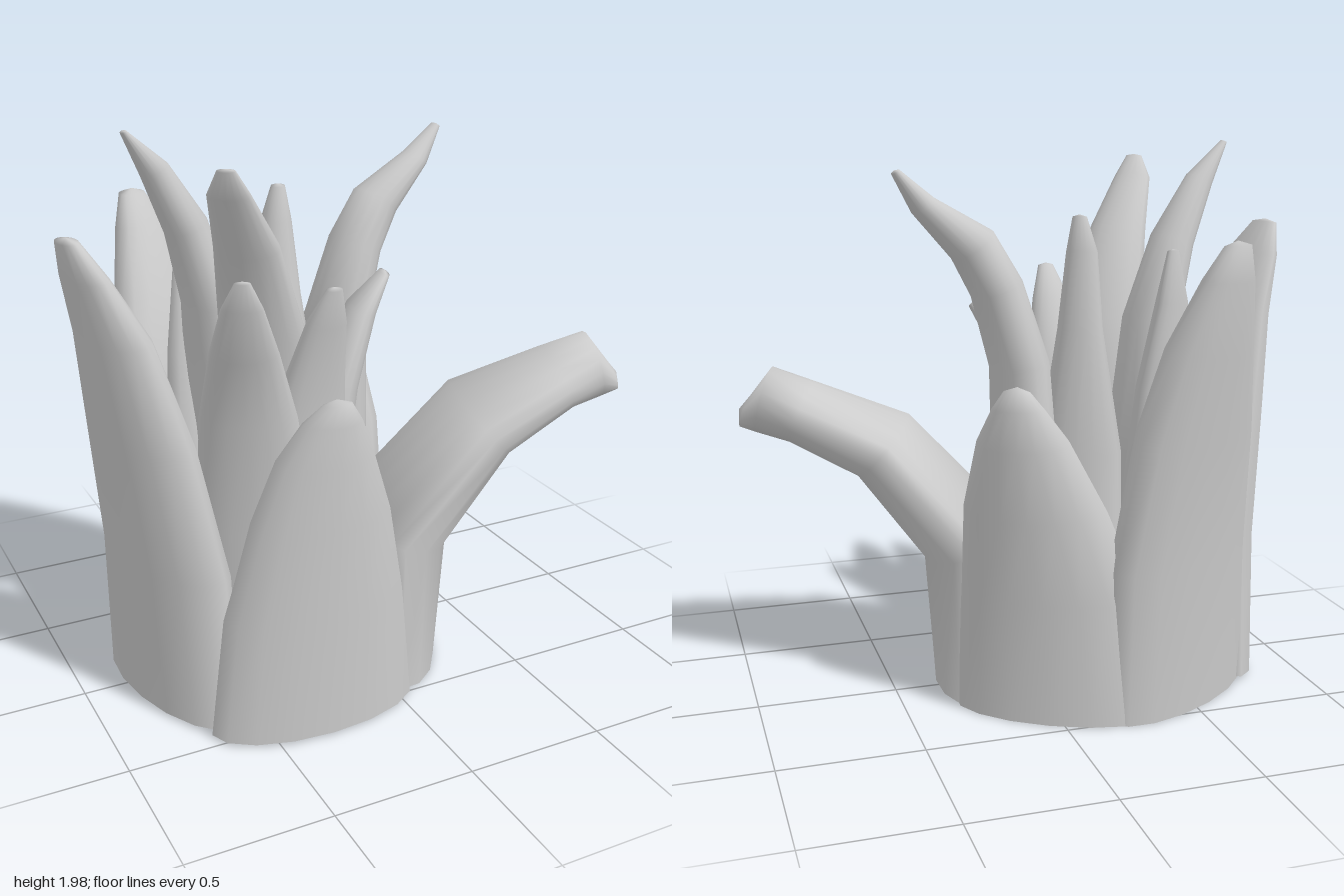
import * as THREE from 'three';

const SEG = 16;
const material = new THREE.MeshStandardMaterial({ color: 0xcccccc, side: THREE.DoubleSide });

// One fleshy leaf. facing: outward direction in degrees (0 = +x, 90 = +z).
// Rows follow the outer crest: [x, y, z, half width, outer depth, inner depth].
function leaf(name, facing, rows) {
  const a = THREE.MathUtils.degToRad(facing);
  const W = new THREE.Vector3(Math.sin(a), 0, -Math.cos(a));
  const crest = rows.map(r => new THREE.Vector3(r[0], r[1], r[2]));
  const pos = [], index = [];
  const last = rows.length - 1;
  const T = new THREE.Vector3(), N = new THREE.Vector3(), c = new THREE.Vector3(), p = new THREE.Vector3();
  rows.forEach(([, , , w, outer, inner], i) => {
    if (i === 0) T.set(0, 1, 0);
    else T.subVectors(crest[Math.min(i + 1, last)], crest[i - 1]).normalize();
    N.crossVectors(W, T).normalize();
    c.copy(crest[i]).addScaledVector(N, -outer);
    for (let j = 0; j < SEG; j++) {
      const t = (j / SEG) * Math.PI * 2, s = Math.sin(t);
      p.copy(c).addScaledVector(W, w * Math.cos(t)).addScaledVector(N, s * (s > 0 ? outer : inner));
      pos.push(p.x, p.y, p.z);
    }
  });
  // rounded tip
  c.addScaledVector(T, rows[last][4] * 0.4);
  pos.push(c.x, c.y, c.z);
  const tip = rows.length * SEG;
  for (let j = 0; j < SEG; j++) {
    const k = (j + 1) % SEG;
    for (let i = 0; i < last; i++) {
      const b = i * SEG, u = b + SEG;
      index.push(b + j, u + j, b + k, b + k, u + j, u + k);
    }
    index.push(last * SEG + j, tip, last * SEG + k);
  }
  const g = new THREE.BufferGeometry();
  g.setAttribute('position', new THREE.Float32BufferAttribute(pos, 3));
  g.setIndex(index);
  g.computeVertexNormals();
  const mesh = new THREE.Mesh(g, material);
  mesh.name = name;
  return mesh;
}

export function createModel() {
  const group = new THREE.Group();
  group.name = 'spikyPlant';

  // outer ring of broad leaves
  const outer = new THREE.Group();
  outer.name = 'outerLeaves';
  outer.add(
    leaf('frontLeaf', 90, [
      [-0.31, 0.02, 0.62, 0.38, 0.17, 0.06], [-0.31, 0.45, 0.63, 0.33, 0.17, 0.1], [-0.3, 0.78, 0.64, 0.25, 0.15, 0.11],
      [-0.3, 1.0, 0.645, 0.17, 0.12, 0.1], [-0.29, 1.14, 0.645, 0.1, 0.09, 0.06], [-0.29, 1.21, 0.635, 0.05, 0.04, 0.04]]),
    leaf('droopingLeaf', 17, [
      [0.31, 0.01, 0.18, 0.37, 0.18, 0.08], [0.34, 0.48, 0.2, 0.335, 0.22, 0.12], [0.57, 0.79, 0.24, 0.28, 0.16, 0.11],
      [0.81, 0.915, 0.29, 0.18, 0.12, 0.11], [0.93, 0.945, 0.33, 0.12, 0.13, 0.12], [0.985, 0.965, 0.35, 0.075, 0.06, 0.06]]),
    leaf('backRightLeaf', -62, [
      [0.05, 0.01, -0.45, 0.37, 0.16, 0.06], [0.08, 0.45, -0.46, 0.32, 0.16, 0.11], [0.14, 0.75, -0.47, 0.25, 0.15, 0.12],
      [0.18, 1.0, -0.485, 0.16, 0.12, 0.1], [0.19, 1.14, -0.49, 0.09, 0.08, 0.07], [0.18, 1.21, -0.47, 0.045, 0.04, 0.03]]),
    leaf('backLeftLeaf', -122, [
      [-0.56, 0.01, -0.435, 0.38, 0.16, 0.06], [-0.55, 0.55, -0.475, 0.36, 0.17, 0.12], [-0.56, 1.0, -0.54, 0.29, 0.16, 0.13],
      [-0.56, 1.3, -0.59, 0.2, 0.13, 0.11], [-0.56, 1.55, -0.63, 0.11, 0.08, 0.07], [-0.56, 1.67, -0.62, 0.055, 0.04, 0.04]]),
    leaf('sideLeaf', 167, [
      [-0.83, 0.02, 0.12, 0.38, 0.16, 0.06], [-0.85, 0.55, 0.12, 0.34, 0.17, 0.1], [-0.9, 1.0, 0.12, 0.28, 0.15, 0.09],
      [-0.94, 1.35, 0.11, 0.2, 0.11, 0.07], [-0.98, 1.56, 0.1, 0.13, 0.06, 0.05], [-1.0, 1.68, 0.09, 0.06, 0.03, 0.03]]));

  // middle ring of slimmer leaves
  const middle = new THREE.Group();
  middle.name = 'middleLeaves';
  middle.add(
    leaf('frontLeftSpike', 118, [
      [-0.45, 0.02, 0.36, 0.22, 0.08, 0.06], [-0.5, 0.7, 0.4, 0.2, 0.09, 0.1], [-0.53, 1.1, 0.43, 0.16, 0.08, 0.08],
      [-0.57, 1.35, 0.51, 0.11, 0.06, 0.06], [-0.59, 1.53, 0.56, 0.065, 0.03, 0.04], [-0.59, 1.62, 0.57, 0.025, 0.015, 0.015]]),
    leaf('frontSpike', 80, [
      [-0.24, 0.02, 0.3, 0.2, 0.08, 0.06], [-0.22, 0.8, 0.31, 0.17, 0.08, 0.1], [-0.21, 1.15, 0.35, 0.12, 0.07, 0.08],
      [-0.2, 1.38, 0.4, 0.075, 0.05, 0.05], [-0.2, 1.51, 0.42, 0.03, 0.02, 0.02]]),
    leaf('rightSpike', 22, [
      [-0.01, 0.02, 0.1, 0.22, 0.08, 0.06], [0.0, 0.75, 0.09, 0.19, 0.08, 0.11], [0.05, 1.05, 0.08, 0.15, 0.07, 0.09],
      [0.13, 1.3, 0.06, 0.1, 0.05, 0.06], [0.2, 1.42, 0.03, 0.045, 0.02, 0.02]]),
    leaf('longRightSpike', -8, [
      [0.1, 0.02, -0.14, 0.2, 0.08, 0.08], [0.14, 0.8, -0.14, 0.18, 0.09, 0.12], [0.16, 1.22, -0.14, 0.14, 0.1, 0.1],
      [0.23, 1.47, -0.15, 0.11, 0.09, 0.09], [0.3, 1.6, -0.155, 0.09, 0.085, 0.085],
      [0.44, 1.76, -0.17, 0.055, 0.045, 0.045], [0.51, 1.89, -0.18, 0.02, 0.015, 0.015]]),
    leaf('backSpike', -116, [
      [-0.45, 0.02, -0.27, 0.19, 0.08, 0.06], [-0.46, 0.8, -0.32, 0.16, 0.08, 0.1], [-0.46, 1.15, -0.335, 0.13, 0.07, 0.08],
      [-0.45, 1.45, -0.345, 0.07, 0.04, 0.05], [-0.43, 1.63, -0.34, 0.025, 0.015, 0.015]]));

  // tall inner leaves
  const inner = new THREE.Group();
  inner.name = 'innerLeaves';
  inner.add(
    leaf('tallLeftSpike', 167, [
      [-0.47, 0.02, -0.12, 0.19, 0.08, 0.07], [-0.48, 0.9, -0.12, 0.17, 0.09, 0.1], [-0.51, 1.35, -0.11, 0.12, 0.08, 0.1],
      [-0.58, 1.62, -0.09, 0.085, 0.07, 0.08], [-0.67, 1.83, -0.06, 0.05, 0.05, 0.05], [-0.74, 1.98, -0.04, 0.015, 0.01, 0.01]]),
    leaf('tallFrontSpike', 128, [
      [-0.35, 0.02, 0.16, 0.2, 0.08, 0.07], [-0.36, 0.9, 0.18, 0.18, 0.09, 0.12], [-0.4, 1.3, 0.22, 0.15, 0.08, 0.1],
      [-0.48, 1.62, 0.31, 0.11, 0.06, 0.07], [-0.56, 1.83, 0.39, 0.07, 0.03, 0.04], [-0.57, 1.92, 0.41, 0.03, 0.015, 0.015]]),
    leaf('coreSpike', -65, [
      [-0.13, 0.02, -0.2, 0.16, 0.08, 0.08], [-0.13, 0.9, -0.2, 0.15, 0.08, 0.12], [-0.13, 1.35, -0.2, 0.08, 0.06, 0.08],
      [-0.14, 1.62, -0.19, 0.055, 0.04, 0.05], [-0.14, 1.74, -0.17, 0.025, 0.02, 0.02]]));

  group.add(outer, middle, inner);
  return group;
}
